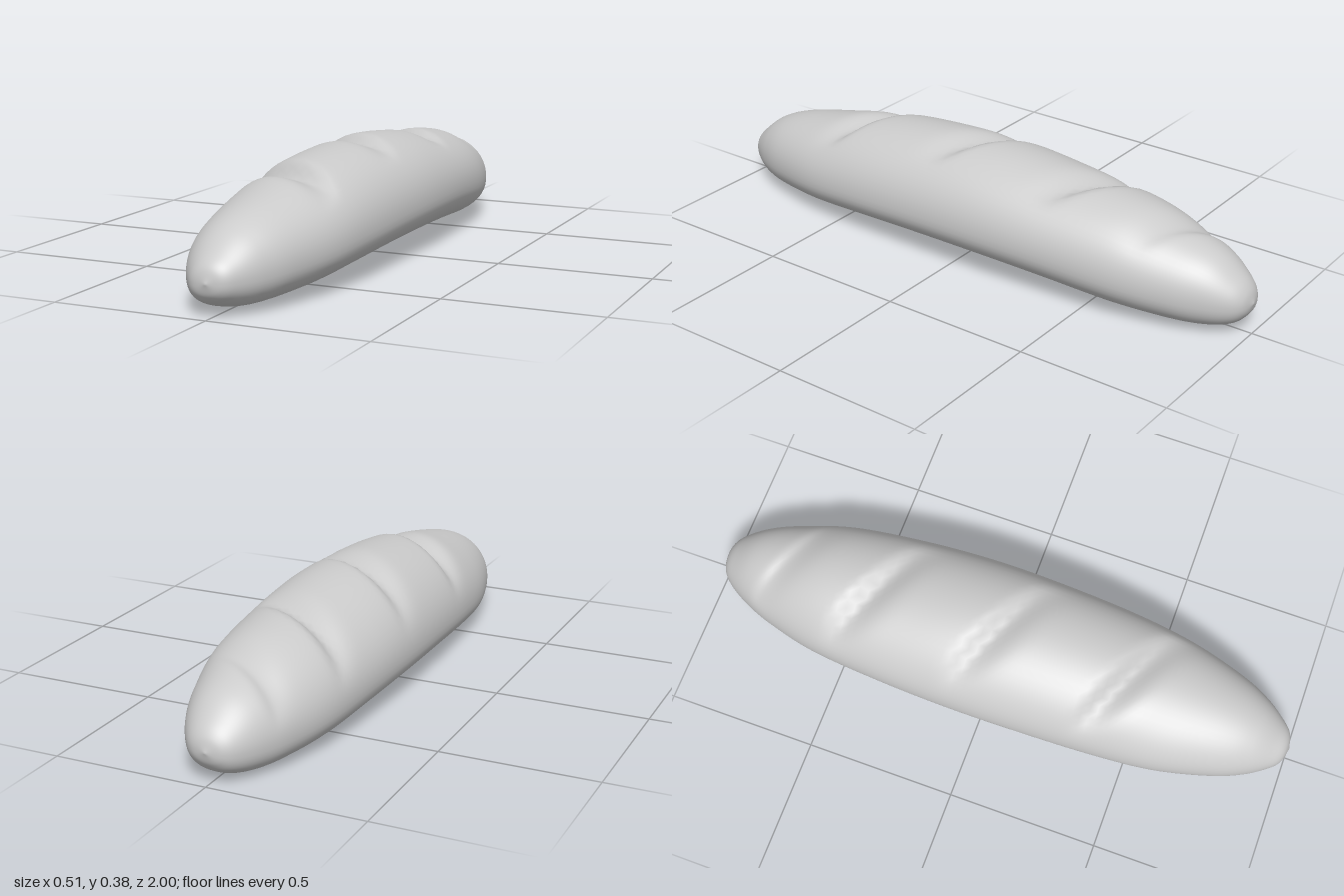
import * as THREE from 'three';
import { mergeVertices } from 'three/addons/utils/BufferGeometryUtils.js';

// Stations along the loaf: z, half width, top, bottom, height of the widest line
const stations = [
  [1.0, 0, 0.11, 0.11, 0.11],
  [0.985, 0.05, 0.155, 0.07, 0.11],
  [0.95, 0.085, 0.19, 0.043, 0.112],
  [0.88, 0.13, 0.243, 0.02, 0.118],
  [0.78, 0.172, 0.282, 0.012, 0.125],
  [0.6, 0.219, 0.322, 0.014, 0.135],
  [0.4, 0.242, 0.364, 0.024, 0.148],
  [0.15, 0.254, 0.385, 0.032, 0.16],
  [-0.1, 0.257, 0.388, 0.033, 0.165],
  [-0.35, 0.246, 0.363, 0.026, 0.16],
  [-0.6, 0.219, 0.335, 0.012, 0.142],
  [-0.78, 0.172, 0.284, 0.008, 0.125],
  [-0.88, 0.132, 0.247, 0.015, 0.118],
  [-0.95, 0.09, 0.195, 0.036, 0.112],
  [-0.985, 0.052, 0.155, 0.07, 0.11],
  [-1.0, 0, 0.11, 0.11, 0.11],
];

// Diagonal baker's cuts: z at the centre line, depth
const cuts = [[0.44, 0.045], [0.0, 0.035], [-0.43, 0.036], [-0.75, 0.014]];

function spline(pick) {
  return new THREE.CatmullRomCurve3(
    stations.map((s) => new THREE.Vector3(...pick(s))), false, 'catmullrom', 0.5);
}

// Steep wall on the back of each cut, gentle scoop towards the front
function cutDepth(x, z) {
  const across = Math.max(0, 1 - ((x + 0.04) / 0.22) ** 2);
  let depth = 0;
  for (const [z0, d] of cuts) {
    const away = z - (z0 + 0.5 * x);
    const spread = away < 0 ? 0.028 : 0.065;
    depth += d * across * Math.exp(-((away / spread) ** 2));
  }
  return depth;
}

function loafGeometry() {
  const outline = spline(([z, w, top]) => [w, top, z]);
  const under = spline(([z, , , bottom, mid]) => [bottom, mid, z]);
  const geometry = new THREE.SphereGeometry(1, 56, 150).rotateX(Math.PI / 2);
  const pos = geometry.attributes.position;
  const o = new THREE.Vector3();
  const u = new THREE.Vector3();

  for (let i = 0; i < pos.count; i++) {
    const t = Math.acos(THREE.MathUtils.clamp(pos.getZ(i), -1, 1)) / Math.PI;
    outline.getPoint(t, o);
    under.getPoint(t, u);
    const angle = Math.atan2(pos.getY(i), pos.getX(i));
    const c = Math.cos(angle);
    const s = Math.sin(angle);
    // Round crust above, flatter base below
    const power = s > 0 ? 1 : 0.85;
    const x = o.x * Math.sign(c) * Math.abs(c) ** power;
    const rise = s > 0 ? (o.y - u.y) * s : -(u.y - u.x) * Math.abs(s) ** power;
    const crust = THREE.MathUtils.smoothstep(s, 0.1, 0.7);
    const y = u.y + rise + 0.07 * x - cutDepth(x, o.z) * crust;
    pos.setXYZ(i, x, y, o.z);
  }

  // Weld the seam so the crust shades smoothly all round
  geometry.deleteAttribute('uv');
  geometry.deleteAttribute('normal');
  const welded = mergeVertices(geometry, 1e-5);
  welded.computeVertexNormals();
  return welded;
}

export function createModel() {
  const group = new THREE.Group();
  group.name = 'breadLoaf';
  const loaf = new THREE.Mesh(
    loafGeometry(),
    new THREE.MeshStandardMaterial({ color: 0xcccccc }));
  loaf.name = 'loaf';
  group.add(loaf);
  return group;
}
